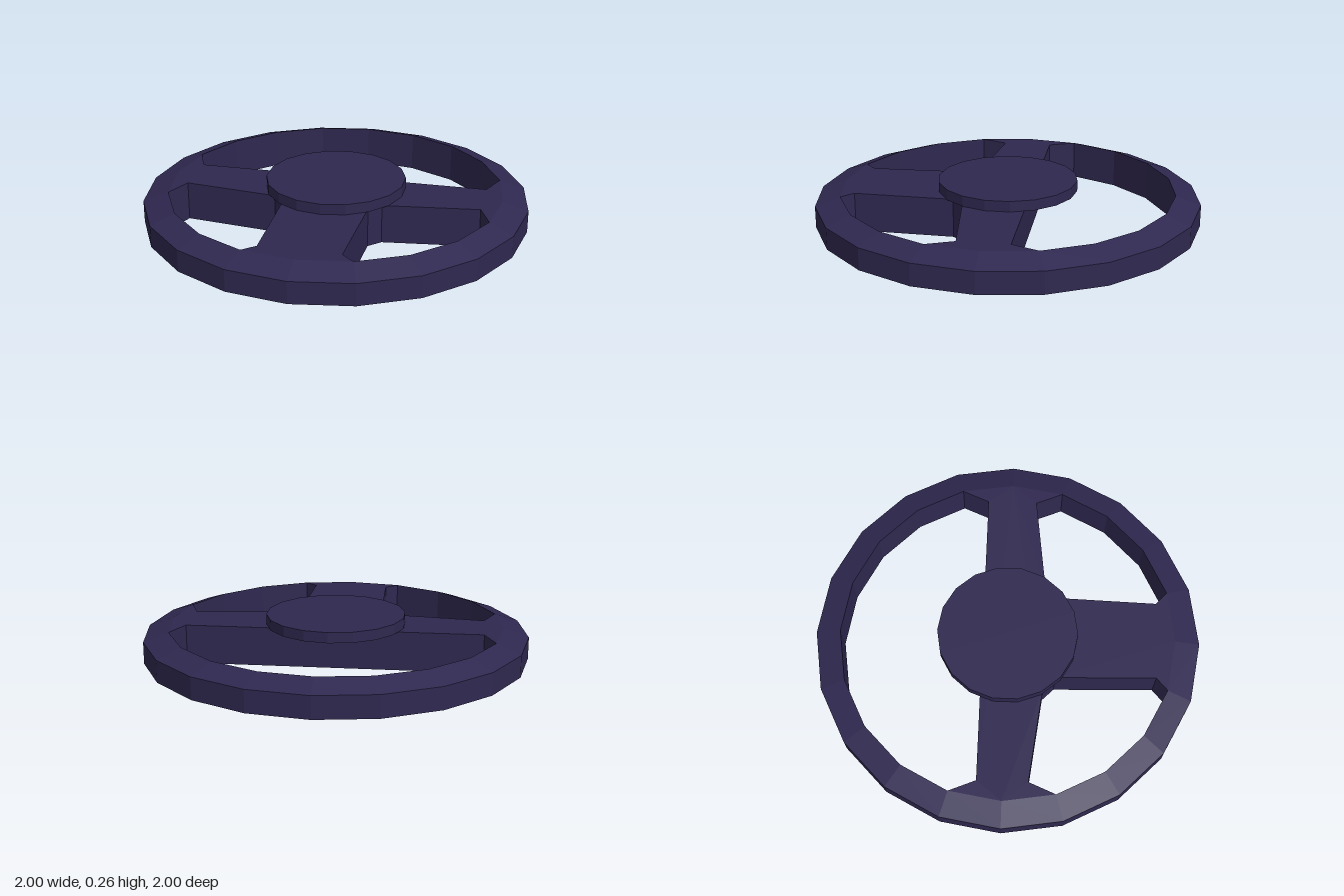
import * as THREE from 'three';

const HEIGHT = 0.205; // thickness of rim and spokes
const INNER = 0.87;   // inner radius of the rim
const SIDES = 20;

export function createModel() {
  const group = new THREE.Group();
  group.name = 'steeringWheel';
  const material = new THREE.MeshStandardMaterial({ color: 0x2f2850, flatShading: true });

  const add = (name, geometry) => {
    const mesh = new THREE.Mesh(geometry, material);
    mesh.name = name;
    group.add(mesh);
    return mesh;
  };

  // Faceted rim with a vertical inner wall and sloped outer edges
  const profile = [[INNER, 0], [1, 0.045], [1, 0.16], [INNER, HEIGHT], [INNER, 0]]
    .map(([r, y]) => new THREE.Vector2(r, y));
  add('rim', new THREE.LatheGeometry(profile, SIDES));

  // Three spokes in one plate: outline of the +x half as (x, z), mirrored
  const onRim = (step) => {
    const a = (step * 2 * Math.PI) / SIDES;
    return [INNER * Math.cos(a), INNER * Math.sin(a)];
  };
  const half = [
    [0.77, -0.13], onRim(-1), onRim(0), onRim(1), [0.77, 0.13], // side spoke
    [0.28, 0.19], [0.22, 0.25],                                 // cut inner corner
    [0.205, 0.77], onRim(4),                                    // front spoke
  ];
  const outline = [
    ...half,
    [0, INNER],
    ...half.map(([x, z]) => [-x, z]).reverse(),
  ].map(([x, z]) => new THREE.Vector2(x, z));
  const plate = new THREE.ExtrudeGeometry(new THREE.Shape(outline), {
    depth: HEIGHT, bevelEnabled: false,
  });
  plate.rotateX(Math.PI / 2);
  plate.translate(0, HEIGHT, 0);
  add('spokes', plate);

  // Raised centre disc
  const hub = add('hub', new THREE.CylinderGeometry(0.363, 0.363, 0.055, 18));
  hub.position.y = HEIGHT + 0.0275;
  hub.rotation.y = Math.PI;

  return group;
}
